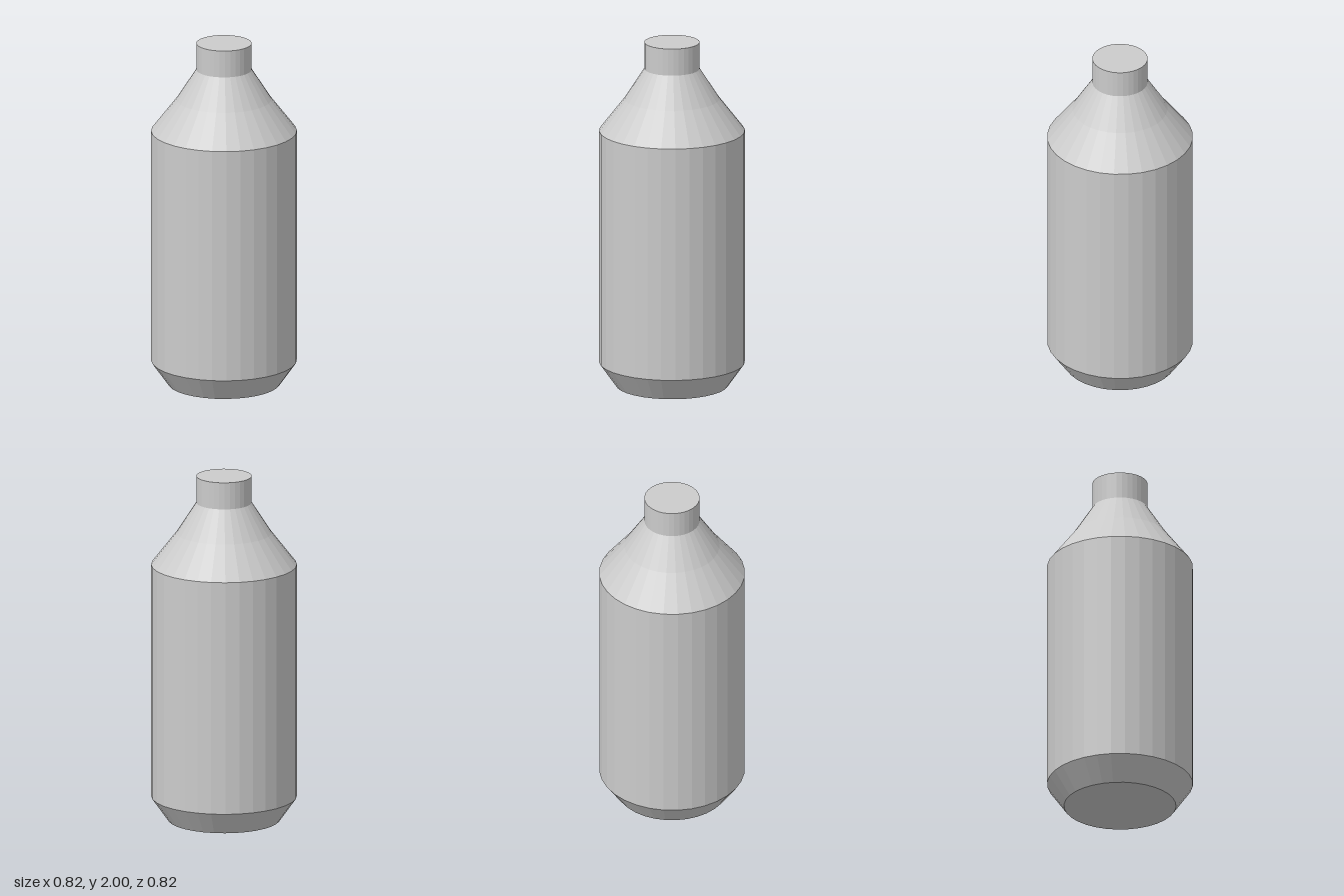
import * as THREE from 'three';

const SIDES = 32;

export function createModel() {
  const model = new THREE.Group();
  model.name = 'bottle';
  const material = new THREE.MeshStandardMaterial({ color: 0xcccccc, flatShading: true });

  const add = (name, geometry, y) => {
    const mesh = new THREE.Mesh(geometry, material);
    mesh.name = name;
    mesh.position.y = y;
    model.add(mesh);
  };

  // Stacked rings of the wall: name, bottom radius, top radius, bottom y, top y
  const rings = [
    ['baseChamfer', 0.316, 0.411, 0, 0.135],
    ['body', 0.411, 0.411, 0.135, 1.485],
    ['lowerShoulder', 0.411, 0.268, 1.485, 1.67],
    ['upperShoulder', 0.268, 0.156, 1.67, 1.845],
    ['neck', 0.156, 0.156, 1.845, 2],
  ];
  for (const [name, bottom, top, y0, y1] of rings) {
    add(name, new THREE.CylinderGeometry(top, bottom, y1 - y0, SIDES, 1, true), (y0 + y1) / 2);
  }

  // Flat end caps
  add('bottomCap', new THREE.CircleGeometry(0.316, SIDES).rotateX(Math.PI / 2), 0);
  add('topCap', new THREE.CircleGeometry(0.156, SIDES).rotateX(-Math.PI / 2), 2);

  return model;
}
